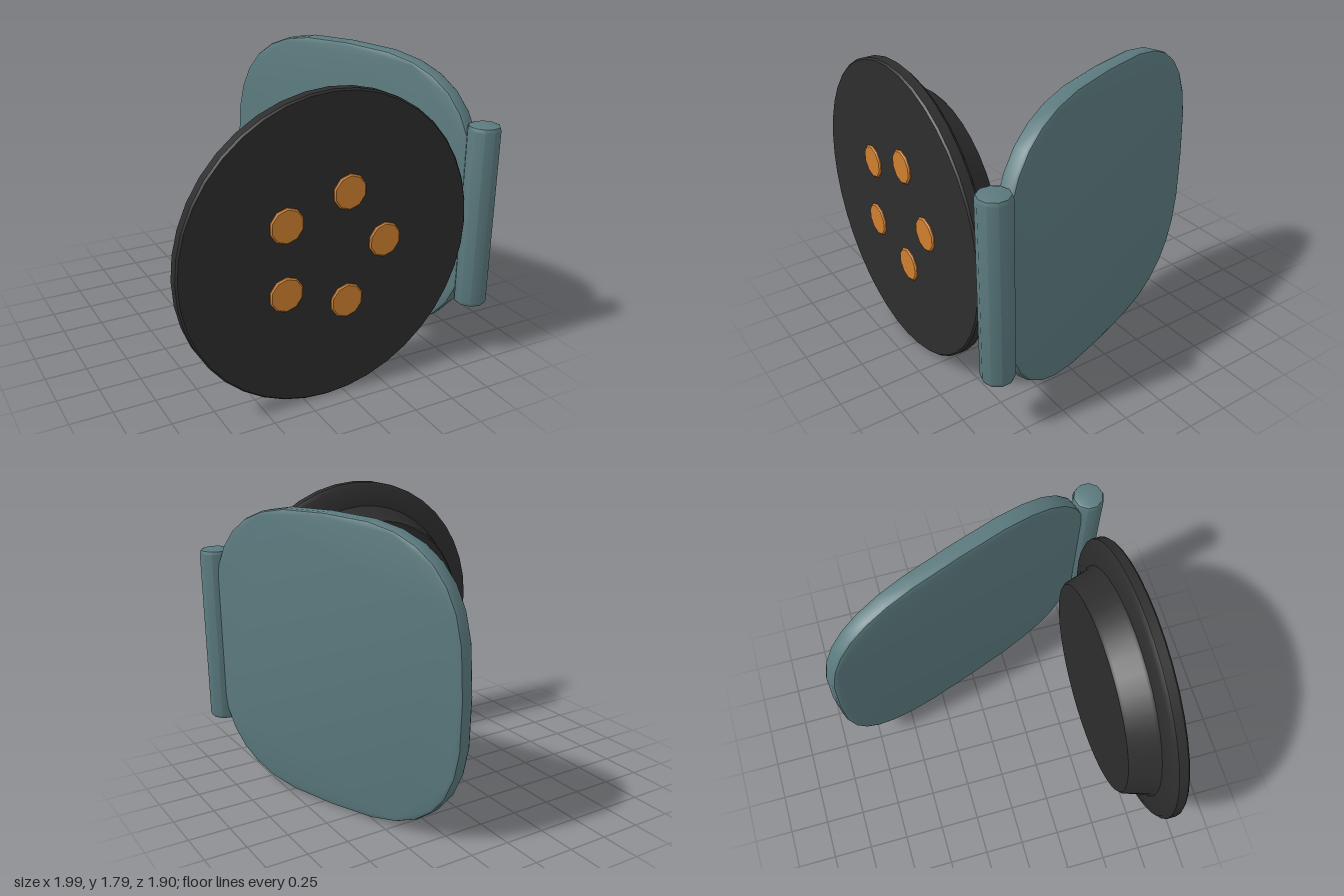
import * as THREE from 'three';
import { toCreasedNormals } from 'three/addons/utils/BufferGeometryUtils.js';

const teal = new THREE.MeshStandardMaterial({ color: 0x5b7a7e });
teal.name = 'teal';
const black = new THREE.MeshStandardMaterial({ color: 0x2d2d2d });
black.name = 'black';
const orange = new THREE.MeshStandardMaterial({ color: 0xcf7f2e });
orange.name = 'orange';

// Turned solid from [radius, height] pairs, listed bottom to top
function turned(name, profile, sides, material, crease = 0.65) {
  const points = profile.map(([r, h]) => new THREE.Vector2(r, h));
  const geometry = toCreasedNormals(new THREE.LatheGeometry(points, sides), crease);
  const mesh = new THREE.Mesh(geometry, material);
  mesh.name = name;
  return mesh;
}

export function createModel() {
  const model = new THREE.Group();
  model.name = 'socketWithLid';

  // Round socket face with a stepped, tapering back, facing +z
  const socket = new THREE.Group();
  socket.name = 'socket';
  socket.position.set(-0.105, 0.895, 0);
  const body = turned('socketBody', [
    [0, 0.61], [0.665, 0.61], [0.678, 0.625], [0.725, 0.77], [0.74, 0.785],
    [0.87, 0.802], [0.895, 0.825], [0.895, 0.88], [0.885, 0.89], [0, 0.89],
  ], 40, black);
  body.rotation.x = Math.PI / 2;
  socket.add(body);

  // Ring of five contacts
  for (let i = 0; i < 5; i++) {
    const a = (i * 2 * Math.PI) / 5;
    const pin = turned('contact', [
      [0, 0.85], [0.102, 0.85], [0.102, 0.895], [0.094, 0.903], [0, 0.903],
    ], 10, orange);
    pin.rotation.x = Math.PI / 2;
    pin.position.set(0.337 * Math.cos(a), 0.337 * Math.sin(a) + 0.005, 0);
    socket.add(pin);
  }
  model.add(socket);

  // Upright hinge barrel
  const hinge = turned('hinge', [
    [0, 0.34], [0.075, 0.34], [0.09, 0.346], [0.097, 0.365],
    [0.097, 1.43], [0.09, 1.449], [0.075, 1.455], [0, 1.455],
  ], 10, teal);
  hinge.position.set(0.9, 0, 0.858);
  model.add(hinge);

  // Open lid: a rounded-square plate with bevelled edges
  const bevel = 0.022, thickness = 0.105;
  const outline = [];
  for (let i = 0; i < 32; i++) {
    const a = (i * Math.PI) / 16;
    const c = Math.cos(a), s = Math.sin(a);
    outline.push(new THREE.Vector2(
      (0.945 - bevel) * Math.sign(c) * Math.abs(c) ** (2 / 3),
      (0.895 - bevel) * Math.sign(s) * Math.abs(s) ** (2 / 3)));
  }
  const plate = new THREE.ExtrudeGeometry(new THREE.Shape(outline), {
    depth: thickness - 2 * bevel, bevelEnabled: true,
    bevelSize: bevel, bevelThickness: bevel, bevelSegments: 2,
  });
  plate.translate(0, 0, bevel - thickness / 2);
  const lid = new THREE.Mesh(toCreasedNormals(plate, 0.5), teal);
  lid.name = 'lid';
  lid.position.set(0.572, 0.895, -0.05);
  lid.rotation.y = THREE.MathUtils.degToRad(-70);
  model.add(lid);

  return model;
}
